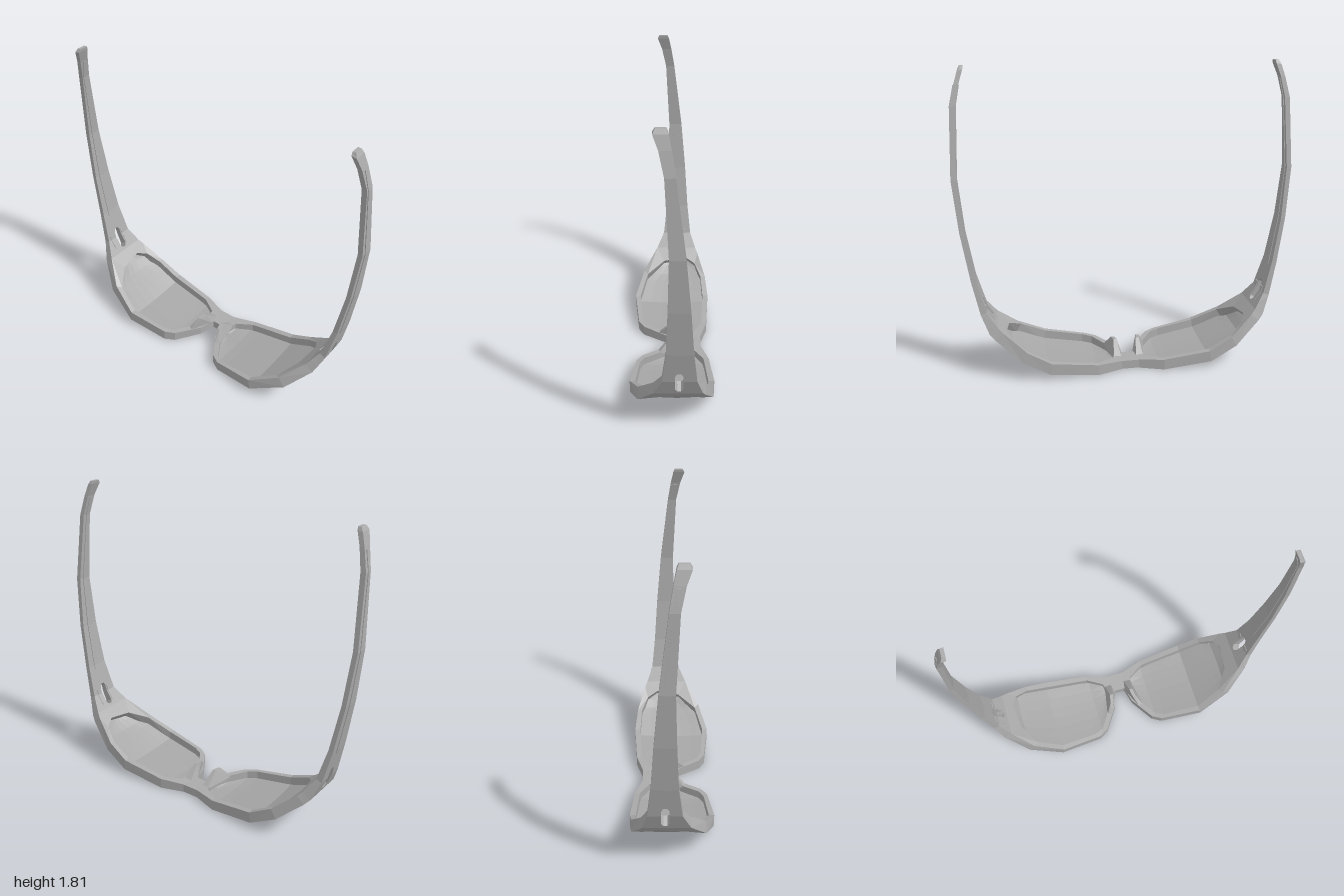
import * as THREE from 'three';
import { ConvexGeometry } from 'three/addons/geometries/ConvexGeometry.js';

// Linear lookup in rows keyed on their first column
function at(rows, t) {
  if (t <= rows[0][0]) return rows[0];
  for (let i = 1; i < rows.length; i++) {
    if (t <= rows[i][0]) {
      const a = rows[i - 1], b = rows[i], k = (t - a[0]) / (b[0] - a[0]);
      return a.map((v, j) => v + (b[j] - v) * k);
    }
  }
  return rows[rows.length - 1];
}

function facets(pos) {
  const g = new THREE.BufferGeometry();
  g.setAttribute('position', new THREE.Float32BufferAttribute(pos, 3));
  g.computeVertexNormals();
  return g;
}

// Swap two corners of every triangle
function flip(pos) {
  const out = [];
  for (let i = 0; i < pos.length; i += 9) {
    out.push(...pos.slice(i, i + 3), ...pos.slice(i + 6, i + 9), ...pos.slice(i + 3, i + 6));
  }
  return out;
}

// Solid through matching cross-sections, with its faces turned outward
function loft(sections, closed = false) {
  let pos = [];
  const n = sections.length, m = sections[0].length;
  const quad = (a, b, c, d) => pos.push(...a, ...b, ...c, ...a, ...c, ...d);
  for (let i = 0; i < (closed ? n : n - 1); i++) {
    const s = sections[i], e = sections[(i + 1) % n];
    for (let j = 0; j < m; j++) quad(s[j], s[(j + 1) % m], e[(j + 1) % m], e[j]);
  }
  if (!closed) {
    const s = sections[0], e = sections[n - 1];
    quad(s[3], s[2], s[1], s[0]);
    quad(e[0], e[1], e[2], e[3]);
  }
  let volume = 0;
  for (let i = 0; i < pos.length; i += 9) {
    const [a, b, c] = [0, 3, 6].map(k => new THREE.Vector3(...pos.slice(i + k, i + k + 3)));
    volume += a.dot(b.cross(c));
  }
  return facets(volume < 0 ? flip(pos) : pos);
}

function mirrored(g) {
  const p = Array.from((g.index ? g.toNonIndexed() : g).attributes.position.array);
  return facets(flip(p.map((v, i) => (i % 3 === 0 ? -v : v))));
}

// Wrap of the front: outer x, outer y, inner x, inner y
const WRAP = [
  [0, 0.005, 0, 0.055], [0.2, 0, 0.2, 0.065], [0.49, 0.04, 0.48, 0.108],
  [0.7, 0.15, 0.66, 0.205], [0.83, 0.29, 0.78, 0.325],
];
// Temple: outer y, inner y, outer x, inner x, z top edge, z bottom edge
const TEMPLE = [
  [0.29, 0.325, 0.83, 0.78, -0.17, 0.1], [0.4, 0.415, 0.875, 0.84, -0.135, 0.052],
  [0.6, 0.605, 0.92, 0.892, -0.115, 0.03], [0.88, 0.88, 0.966, 0.94, -0.097, 0.02],
  [1.19, 1.19, 0.996, 0.968, -0.07, 0.013], [1.6, 1.6, 0.98, 0.95, -0.02, 0.034],
  [1.72, 1.72, 0.952, 0.925, 0.0, 0.06], [1.79, 1.795, 0.93, 0.9, 0.015, 0.087],
  [1.813, 1.813, 0.917, 0.897, 0.024, 0.075],
];
// Rim: outer x, z and lens opening x, z
const RIM = [
  [0.05, -0.185, 0.1, -0.14], [0.2, -0.23, 0.2, -0.198], [0.49, -0.25, 0.49, -0.215],
  [0.65, -0.235, 0.65, -0.205], [0.8, -0.185, 0.74, -0.165], [0.83, -0.17, 0.775, -0.1],
  [0.83, 0.1, 0.755, 0.05], [0.7, 0.19, 0.67, 0.165], [0.49, 0.245, 0.49, 0.213],
  [0.22, 0.215, 0.25, 0.193], [0.16, 0.18, 0.19, 0.168], [0.06, 0.03, 0.115, 0.05],
  [0.035, -0.07, 0.08, -0.06],
];

function wrapPoint(x, z, depth) {
  const [xo, yo, xi, yi] = at(WRAP, x);
  return [xo + (xi - xo) * depth, yo + (yi - yo) * depth, z];
}

// Length of temple at the given heights; z limits default to the temple edges
function bar(heights, limits = r => [r[4], r[5]]) {
  return loft(heights.map(y => {
    const r = at(TEMPLE, y), [z0, z1] = limits(r);
    return [[r[2], r[0], z0], [r[2], r[0], z1], [r[3], r[1], z1], [r[3], r[1], z0]];
  }));
}

// Thin plate on the outer or inner face; rows are y, z0, z1
function plate(rows, inner) {
  return loft(rows.map(([y, z0, z1]) => {
    const r = at(TEMPLE, y);
    const x = inner ? r[3] : r[2], yy = inner ? r[1] : r[0], d = inner ? -0.004 : 0.004;
    return [[x - d, yy, z0], [x - d, yy, z1], [x + d, yy, z1], [x + d, yy, z0]];
  }));
}

function lensGeometry() {
  const hole = RIM.map(r => [r[2], r[3]]);
  const top = [hole[12], ...hole.slice(0, 6)];
  const bottom = hole.slice(6).reverse();
  const xs = [0.08, 0.1, 0.115, 0.19, 0.25, 0.36, 0.49, 0.57, 0.65, 0.7, 0.74, 0.775];
  const steps = 6, pos = [];
  const point = (x, j) => {
    const k = j / steps, a = at(top, x)[1], b = at(bottom, x)[1];
    return wrapPoint(x, a + (b - a) * k, 0.25 - 0.6 * k * (1 - k));
  };
  for (let i = 0; i + 1 < xs.length; i++) {
    for (let j = 0; j < steps; j++) {
      const a = point(xs[i], j), b = point(xs[i + 1], j);
      const c = point(xs[i + 1], j + 1), d = point(xs[i], j + 1);
      pos.push(...a, ...b, ...c, ...a, ...c, ...d);
    }
  }
  return facets(flip(pos));
}

export function createModel() {
  const model = new THREE.Group();
  model.name = 'sunglasses';
  const frame = new THREE.MeshStandardMaterial({ name: 'frame grey', color: 0xababab });
  const lens = new THREE.MeshStandardMaterial({
    name: 'lens grey', color: 0xa6a6a6, side: THREE.DoubleSide,
  });
  const add = (name, geometry, material = frame) => {
    const mesh = new THREE.Mesh(geometry, material);
    mesh.name = name;
    model.add(mesh);
  };
  const pair = (name, geometry, material) => {
    add(name + 'Left', geometry, material);
    add(name + 'Right', mirrored(geometry), material);
  };

  // Front: rims, lenses, bridge and nose pads
  pair('rim', loft(RIM.map(([xo, zo, xi, zi]) => [
    wrapPoint(xo, zo, 0), wrapPoint(xo, zo, 1), wrapPoint(xi, zi, 1), wrapPoint(xi, zi, 0),
  ]), true));
  pair('lens', lensGeometry(), lens);
  add('bridge', loft([-0.06, -0.03, 0.03, 0.06].map(x => {
    const z1 = Math.abs(x) > 0.04 ? -0.05 : -0.07;
    return [[x, 0.005, -0.186], [x, 0.005, z1], [x, 0.057, z1], [x, 0.057, -0.186]];
  })));
  pair('nosePad', new ConvexGeometry([
    [0.045, 0.05, -0.13], [0.09, 0.05, -0.13], [0.034, 0.05, -0.06], [0.082, 0.05, -0.06],
    [0.1, 0.05, 0.09], [0.128, 0.05, 0.08], [0.06, 0.13, -0.03], [0.08, 0.13, -0.03],
    [0.068, 0.125, 0.02], [0.088, 0.125, 0.02],
  ].map(p => new THREE.Vector3(...p))));

  // Temples, with two rails round the slot at the hinge
  const slot = [[0.31, -0.05, -0.03], [0.33, -0.064, -0.017], [0.4, -0.064, -0.017],
    [0.44, -0.062, -0.018], [0.46, -0.05, -0.03]];
  const slotHeights = slot.map(s => s[0]);
  pair('templeRoot', bar([0.29, 0.31]));
  pair('upperSlotRail', bar(slotHeights, r => [r[4], at(slot, r[0])[1]]));
  pair('lowerSlotRail', bar(slotHeights, r => [at(slot, r[0])[2], r[5]]));
  pair('slotEndLow', bar([0.305, 0.311], () => [-0.05, -0.03]));
  pair('temple', bar([0.46, 0.6, 0.88, 1.19, 1.6, 1.72, 1.79, 1.813]));

  // Long panels on both faces of the temples
  const panel = [[0.575, -0.07, -0.012], [0.6, -0.069, -0.012], [0.88, -0.058, -0.011],
    [1.19, -0.045, -0.01], [1.6, 0.002, 0.026], [1.71, 0.017, 0.036]];
  pair('outerPanel', plate(panel, false));
  pair('innerPanel', plate(panel, true));

  // Hinge leaves inside
  pair('upperHingeLeaf', plate([[0.325, -0.1, -0.07], [0.4, -0.1, -0.07], [0.43, -0.1, -0.07]], true));
  pair('lowerHingeLeaf', plate([[0.325, -0.01, 0.03], [0.4, -0.01, 0.03], [0.43, -0.01, 0.03]], true));
  return model;
}
